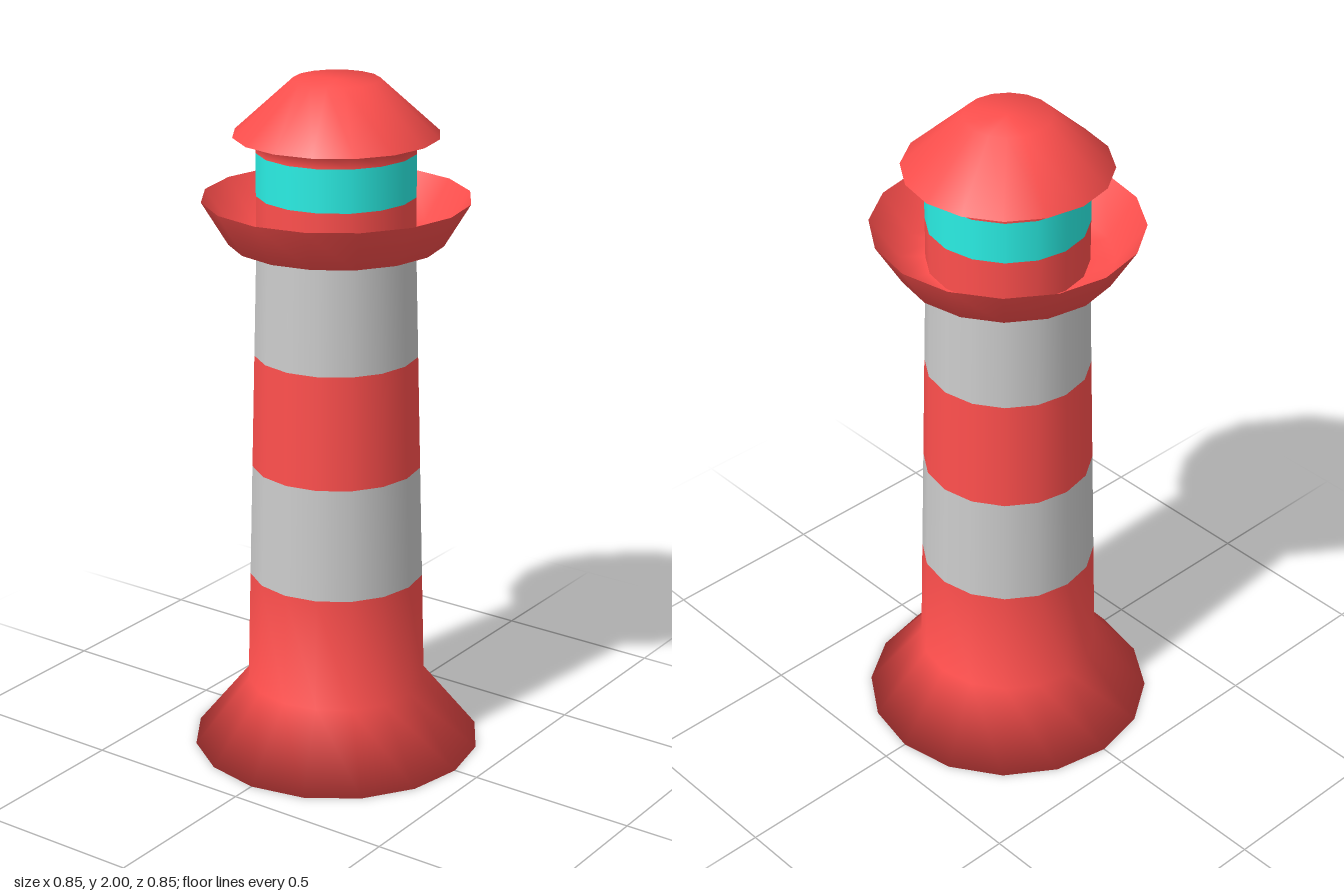
import * as THREE from 'three';

const SIDES = 16;
const RED = 0xff4f4d, GREY = 0xcccccc, CYAN = 0x2aeee4;
const FOOT_Y = 0.2, FOOT_R = 0.265;
const HEAD_Y = 1.54, HEAD_R = 0.228;

// radius of the tapering tower wall at height y
const wall = (y) => THREE.MathUtils.mapLinear(y, FOOT_Y, HEAD_Y, FOOT_R, HEAD_R);

// one smooth, 16-sided turned part from a [radius, height] profile
function turned(name, color, profile) {
  const points = profile.map(([r, y]) => new THREE.Vector2(r, y));
  const material = new THREE.MeshStandardMaterial({ color, side: THREE.DoubleSide });
  const mesh = new THREE.Mesh(new THREE.LatheGeometry(points, SIDES), material);
  mesh.name = name;
  return mesh;
}

export function createModel() {
  const model = new THREE.Group();
  model.name = 'lighthouse';

  // flared foot running up into the lowest red band
  model.add(turned('flaredBase', RED, [[0, 0], [0.425, 0], [FOOT_R, FOOT_Y], [wall(0.54), 0.54]]));

  // alternating bands of the tower
  const levels = [0.54, 0.875, 1.21, HEAD_Y];
  for (let i = 0; i < levels.length - 1; i++) {
    const [a, b] = [levels[i], levels[i + 1]];
    model.add(turned(`towerBand${i + 1}`, i % 2 ? RED : GREY, [[wall(a), a], [wall(b), b]]));
  }

  // bowl-shaped gallery: outer shell, then inner wall and floor
  model.add(turned('galleryShell', RED, [[HEAD_R, HEAD_Y], [0.307, HEAD_Y], [0.382, 1.665]]));
  model.add(turned('galleryFloor', RED, [[0.382, 1.665], [0.3, 1.55], [HEAD_R, 1.55]]));

  // lantern room
  model.add(turned('lanternSill', RED, [[HEAD_R, 1.55], [HEAD_R, 1.677]]));
  model.add(turned('lanternGlass', CYAN, [[HEAD_R, 1.677], [HEAD_R, 1.8]]));

  // lintel, overhanging eave and cut-off conical roof
  model.add(turned('roof', RED, [[HEAD_R, 1.8], [HEAD_R, 1.845], [0.292, 1.845], [0.122, 2], [0, 2]]));

  return model;
}
